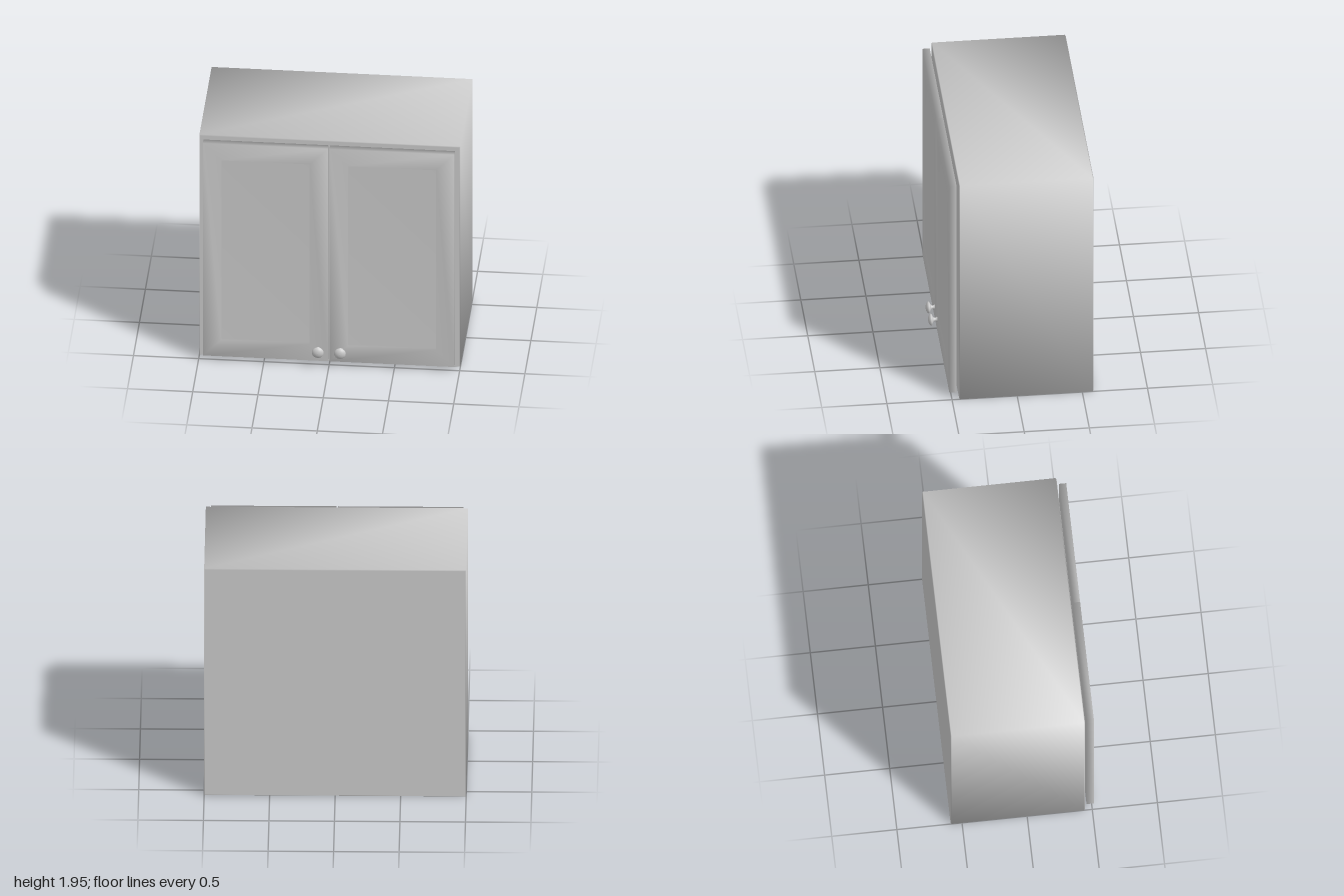
import * as THREE from 'three';

const material = new THREE.MeshStandardMaterial({ color: 0xcccccc });

// Skins rectangular rings [halfWidth, halfHeight, z], back to front, and caps both ends.
// Corners are shared, so the shading rolls softly over the edges.
function loftRects(rings) {
  const positions = [];
  const index = [];
  for (const [w, h, z] of rings) {
    positions.push(-w, -h, z, w, -h, z, w, h, z, -w, h, z);
  }
  for (let r = 0; r < rings.length - 1; r++) {
    for (let k = 0; k < 4; k++) {
      const a = r * 4 + k;
      const b = r * 4 + (k + 1) % 4;
      index.push(a, b, b + 4, a, b + 4, a + 4);
    }
  }
  const f = (rings.length - 1) * 4;
  index.push(0, 2, 1, 0, 3, 2, f, f + 1, f + 2, f, f + 2, f + 3);
  const geometry = new THREE.BufferGeometry();
  geometry.setAttribute('position', new THREE.Float32BufferAttribute(positions, 3));
  geometry.setIndex(index);
  geometry.computeVertexNormals();
  return geometry;
}

function addMesh(parent, name, geometry, x, y, z) {
  const mesh = new THREE.Mesh(geometry, material);
  mesh.name = name;
  mesh.position.set(x, y, z);
  parent.add(mesh);
  return mesh;
}

export function createModel() {
  const cabinet = new THREE.Group();
  cabinet.name = 'wallCabinet';

  // Closed carcass with slightly eased edges
  const W = 1, H = 0.975, back = -0.587, front = 0.445, e = 0.007;
  addMesh(cabinet, 'carcass', loftRects([
    [W - e, H - e, back],
    [W, H, back + e],
    [W, H, front - e],
    [W - e, H - e, front],
  ]), 0, H, 0);

  // Framed door with a recessed centre panel
  const doorGeometry = loftRects([
    [0.479, 0.94, 0.46],
    [0.479, 0.94, 0.516],
    [0.338, 0.795, 0.516],
    [0.336, 0.793, 0.496],
  ]);

  // Mushroom knob: flared foot, thin stem, domed head
  const knobProfile = [
    [0.022, 0], [0.017, 0.006], [0.014, 0.015], [0.015, 0.026], [0.022, 0.034],
    [0.038, 0.04], [0.045, 0.046], [0.045, 0.052], [0.039, 0.06], [0.025, 0.068],
    [0.012, 0.071], [0, 0.072],
  ].map(([r, y]) => new THREE.Vector2(r, y));
  const knobGeometry = new THREE.LatheGeometry(knobProfile, 32);
  knobGeometry.rotateX(Math.PI / 2);

  for (const [side, s] of [['right', -1], ['left', 1]]) {
    const door = new THREE.Group();
    door.name = side + 'Door';
    addMesh(door, side + 'DoorPanel', doorGeometry, s * 0.485 - 0.003, 0.98, 0);
    addMesh(door, side + 'Knob', knobGeometry, s * 0.085 + 0.003, 0.14, 0.515);
    cabinet.add(door);
  }

  return cabinet;
}
